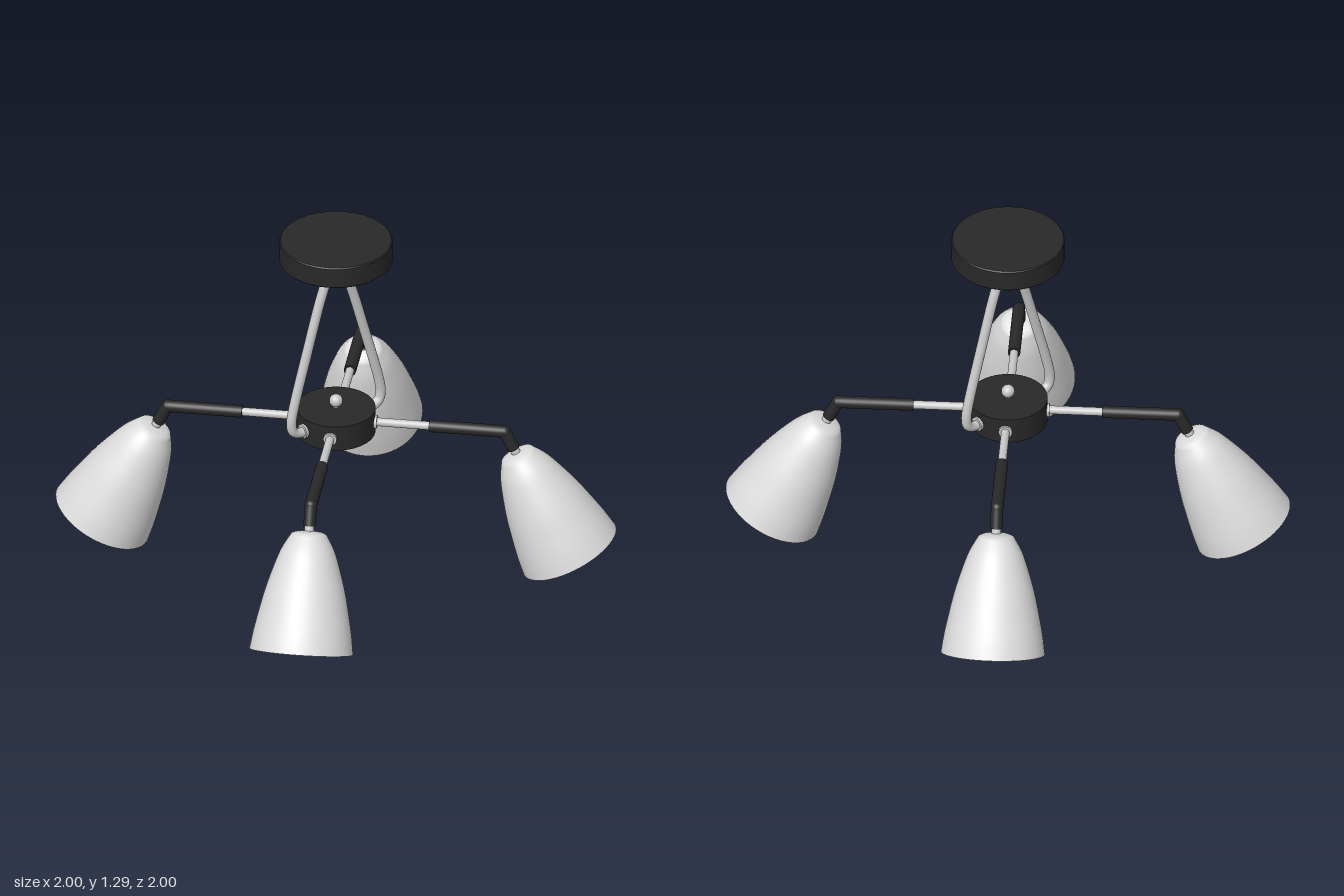
import * as THREE from 'three';

const TILT = THREE.MathUtils.degToRad(26.5);
const ARM_Y = 0.555;

function makeMaterials() {
  const make = (name, color) => {
    const m = new THREE.MeshStandardMaterial({ color, side: THREE.DoubleSide });
    m.name = name;
    return m;
  };
  return {
    black: make('matte black', 0x282828),
    metal: make('satin metal', 0xc8c8c8),
    glass: make('white glass', 0xdcdcdc),
  };
}

function add(parent, name, geometry, material, x = 0, y = 0, z = 0) {
  const mesh = new THREE.Mesh(geometry, material);
  mesh.name = name;
  mesh.position.set(x, y, z);
  parent.add(mesh);
  return mesh;
}

// Upright rod between two heights
function rodY(parent, name, material, radius, y0, y1) {
  return add(parent, name, new THREE.CylinderGeometry(radius, radius, y1 - y0, 24), material, 0, (y0 + y1) / 2, 0);
}

// Rod along x between two distances
function rodX(parent, name, material, radius, x0, x1) {
  const geometry = new THREE.CylinderGeometry(radius, radius, x1 - x0, 24).rotateZ(Math.PI / 2);
  return add(parent, name, geometry, material, (x0 + x1) / 2, 0, 0);
}

// Lamp head hanging down its own -y axis from the elbow
function makeHead(mat) {
  const head = new THREE.Group();
  head.name = 'lampHead';
  rodY(head, 'elbowTube', mat.black, 0.022, -0.075, 0);
  rodY(head, 'neck', mat.metal, 0.017, -0.12, -0.07);

  const cap = [[0.068, -0.112], [0.062, -0.102], [0.045, -0.095], [0.016, -0.092]];
  add(head, 'shadeCap', new THREE.LatheGeometry(cap.map(([r, y]) => new THREE.Vector2(r, y)), 48), mat.glass);

  // Bell profile from the mouth up, with a thin inner wall
  const profile = [[0.185, -0.522], [0.176, -0.46], [0.162, -0.39], [0.144, -0.31], [0.122, -0.235], [0.096, -0.162], [0.068, -0.112]];
  const outer = new THREE.SplineCurve(profile.map(([r, y]) => new THREE.Vector2(r, y))).getPoints(24);
  const inner = outer.map((p) => new THREE.Vector2(p.x - 0.006, p.y)).reverse();
  add(head, 'shadeOutside', new THREE.LatheGeometry(outer, 48), mat.glass);
  add(head, 'shadeInside', new THREE.LatheGeometry(inner, 48), mat.glass);
  add(head, 'shadeRim', new THREE.LatheGeometry([inner[inner.length - 1], outer[0]], 48), mat.glass);

  // Bulb and its socket
  rodY(head, 'socket', mat.metal, 0.035, -0.22, -0.1);
  const bulb = [[0.032, -0.22], [0.036, -0.26], [0.055, -0.31]];
  for (let i = 0; i <= 12; i++) {
    const a = THREE.MathUtils.lerp(0.75, Math.PI, i / 12);
    bulb.push([Math.max(0, 0.08 * Math.sin(a)), -0.385 + 0.08 * Math.cos(a)]);
  }
  add(head, 'bulb', new THREE.LatheGeometry(bulb.reverse().map(([r, y]) => new THREE.Vector2(r, y)), 32), mat.glass);
  return head;
}

// Arm pointing along +x with the head at its end
function makeArm(mat) {
  const arm = new THREE.Group();
  arm.name = 'arm';
  rodX(arm, 'armCollar', mat.metal, 0.024, 0.132, 0.148);
  rodX(arm, 'armRod', mat.metal, 0.015, 0.13, 0.35);
  rodX(arm, 'armSleeve', mat.black, 0.022, 0.335, 0.604);
  add(arm, 'elbow', new THREE.SphereGeometry(0.0225, 24, 16), mat.black, 0.604, 0, 0);
  const head = makeHead(mat);
  head.position.x = 0.604;
  head.rotation.z = TILT;
  arm.add(head);
  return arm;
}

export function createModel() {
  const model = new THREE.Group();
  model.name = 'ceilingLamp';
  const mat = makeMaterials();

  // Ceiling plate with softened edges
  const plate = [[0, 1.212], [0.197, 1.212], [0.201, 1.216], [0.201, 1.29], [0.197, 1.294], [0, 1.294]];
  for (let i = 0; i < plate.length - 1; i++) {
    const pair = [plate[i], plate[i + 1]].map(([r, y]) => new THREE.Vector2(r, y));
    add(model, 'ceilingPlate', new THREE.LatheGeometry(pair, 64), mat.black);
  }
  rodY(model, 'plateCollar', mat.metal, 0.025, 1.2, 1.215);
  rodY(model, 'plateStem', mat.metal, 0.014, 1.145, 1.21);

  // Hub and its finials
  add(model, 'hub', new THREE.CylinderGeometry(0.14, 0.14, 0.097, 64), mat.black, 0, ARM_Y, 0);
  rodY(model, 'finialStem', mat.metal, 0.01, 0.49, 0.63);
  add(model, 'topFinial', new THREE.SphereGeometry(0.024, 24, 16), mat.metal, 0, 0.63, 0);
  add(model, 'bottomFinial', new THREE.SphereGeometry(0.022, 24, 16), mat.metal, 0, 0.487, 0);

  // Bent hanger tube set diagonally between the arms
  const hanger = new THREE.Group();
  hanger.name = 'hanger';
  const side = [[0.125, 0.553], [0.165, 0.554], [0.19, 0.57], [0.197, 0.6], [0.192, 0.64], [0.125, 0.88], [0.061, 1.09], [0.04, 1.135]];
  const path = [
    ...side.map(([x, y]) => new THREE.Vector3(x, y, 0)),
    new THREE.Vector3(0, 1.15, 0),
    ...side.slice().reverse().map(([x, y]) => new THREE.Vector3(-x, y, 0)),
  ];
  add(hanger, 'hangerTube', new THREE.TubeGeometry(new THREE.CatmullRomCurve3(path), 160, 0.018, 16), mat.metal);
  for (const s of [-1, 1]) {
    const collar = new THREE.CylinderGeometry(0.026, 0.026, 0.016, 24).rotateZ(Math.PI / 2);
    add(hanger, 'hangerCollar', collar, mat.metal, s * 0.14, ARM_Y, 0);
  }
  hanger.rotation.y = Math.PI / 4;
  model.add(hanger);

  // Four arms
  for (let i = 0; i < 4; i++) {
    const arm = makeArm(mat);
    arm.position.y = ARM_Y;
    arm.rotation.y = (i * Math.PI) / 2;
    model.add(arm);
  }
  return model;
}
